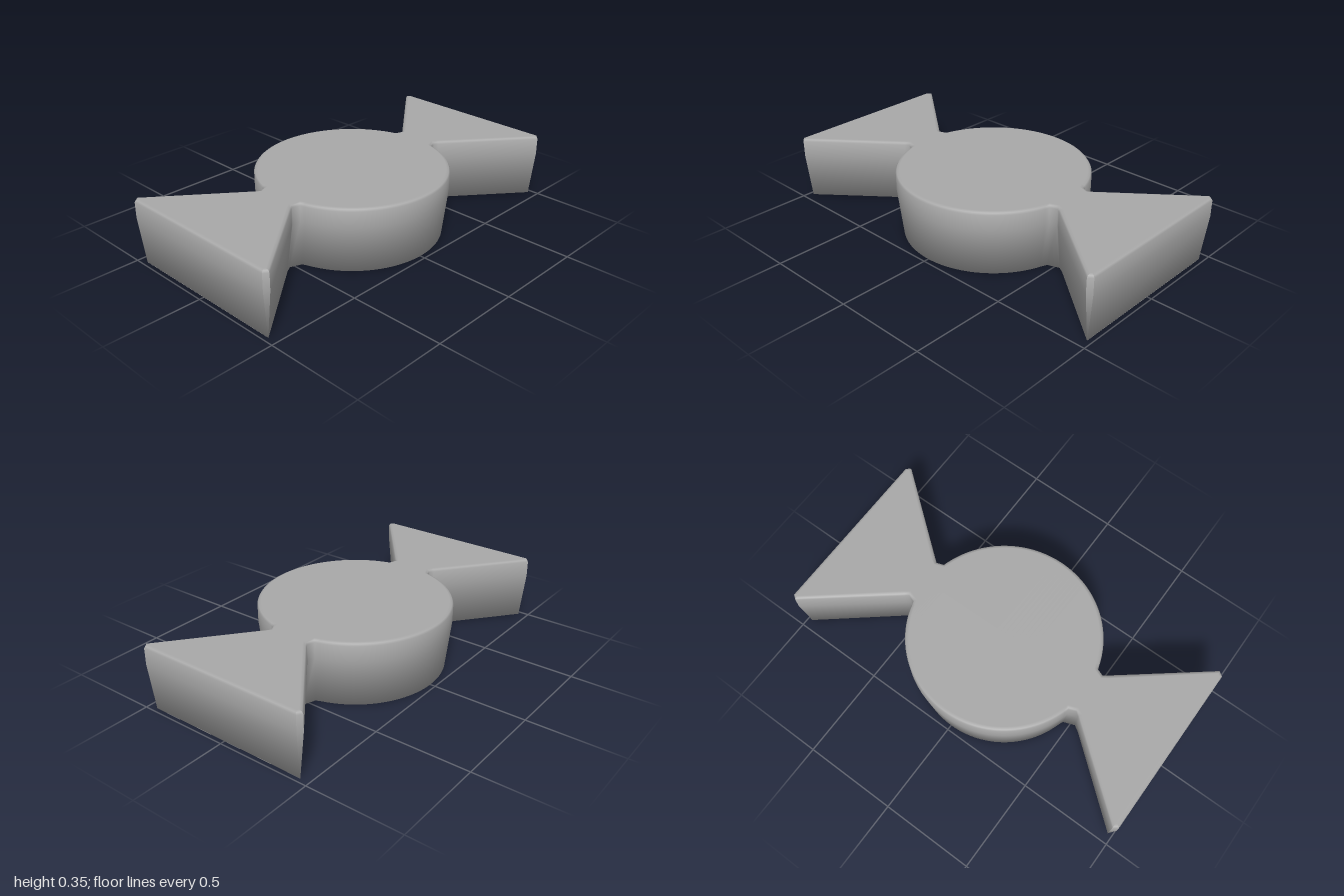
import * as THREE from 'three';

// Plan outline (x, z): round middle joined to two flared wrapper ends
function candyOutline() {
  const quarter = [[1, 0.46], [0.975, 0.478], [0.54, 0.13], [0.52, 0.115]];
  const start = 0.26, steps = 28;
  for (let i = 0; i < steps; i++) {
    const a = start + (Math.PI / 2 - start) * (i / steps);
    quarter.push([0.5 * Math.cos(a), 0.5 * Math.sin(a)]);
  }
  const mirrored = quarter.map(([x, z]) => [-x, z]).reverse();
  const half = [...quarter, [0, 0.5], ...mirrored];
  const other = half.map(([x, z]) => [-x, -z]);
  return [...half, ...other].map(([x, z]) => new THREE.Vector2(x, z));
}

// Outward plan normals at each point: the shared one, and one for each side
// of the point, which stay apart at sharp outer corners
function outlineNormals(points) {
  const n = points.length;
  return points.map((p, i) => {
    const before = p.clone().sub(points[(i + n - 1) % n]).normalize();
    const after = points[(i + 1) % n].clone().sub(p).normalize();
    const outward = t => new THREE.Vector2(t.y, -t.x);
    const shared = outward(before.clone().add(after).normalize());
    const turn = Math.atan2(before.cross(after), before.dot(after));
    return turn > 0.75
      ? { shared, before: outward(before), after: outward(after) }
      : { shared, before: shared, after: shared };
  });
}

// Stacks outlines into a closed solid with smooth shading over its lower edge.
// Layers are [height, inset, upward part of the normal, z scale]
function layeredSolid(outline, layers) {
  const n = outline.length, positions = [], normals = [];
  const plan = outlineNormals(outline);

  const corner = (k, i, side) => {
    const [y, inset, ny, zScale] = layers[k];
    const { x, y: z } = outline[i], { shared } = plan[i], dir = plan[i][side];
    const flat = Math.sqrt(1 - ny * ny);
    positions.push(x - shared.x * inset, y, (z - shared.y * inset) * zScale);
    normals.push(dir.x * flat, ny, dir.y * flat);
  };

  for (let k = 0; k < layers.length - 1; k++) {
    for (let i = 0; i < n; i++) {
      const j = (i + 1) % n;
      corner(k, i, 'after');
      corner(k + 1, i, 'after');
      corner(k, j, 'before');
      corner(k, j, 'before');
      corner(k + 1, i, 'after');
      corner(k + 1, j, 'before');
    }
  }

  const geometry = new THREE.BufferGeometry();
  geometry.setAttribute('position', new THREE.Float32BufferAttribute(positions, 3));
  geometry.setAttribute('normal', new THREE.Float32BufferAttribute(normals, 3));
  return geometry;
}

export function createModel() {
  const group = new THREE.Group();
  group.name = 'wrappedCandy';

  const layers = [
    // underside, from the middle line out to the rim
    [0, 0.028, -1, 0], [0, 0.028, -0.96, 0.6], [0, 0.028, -0.75, 1],
    // tapered foot and upright wall
    [0.25, 0, -0.06, 1], [0.335, 0, 0.25, 1],
    // rounded edge and flat top, closed along the middle line
    [0.345, 0.006, 0.8, 1], [0.35, 0.02, 1, 1], [0.35, 0.02, 1, 0]
  ];
  const candy = new THREE.Mesh(
    layeredSolid(candyOutline(), layers),
    new THREE.MeshStandardMaterial({ color: 0xa8a8a8 })
  );
  candy.name = 'candyBody';
  group.add(candy);
  return group;
}
